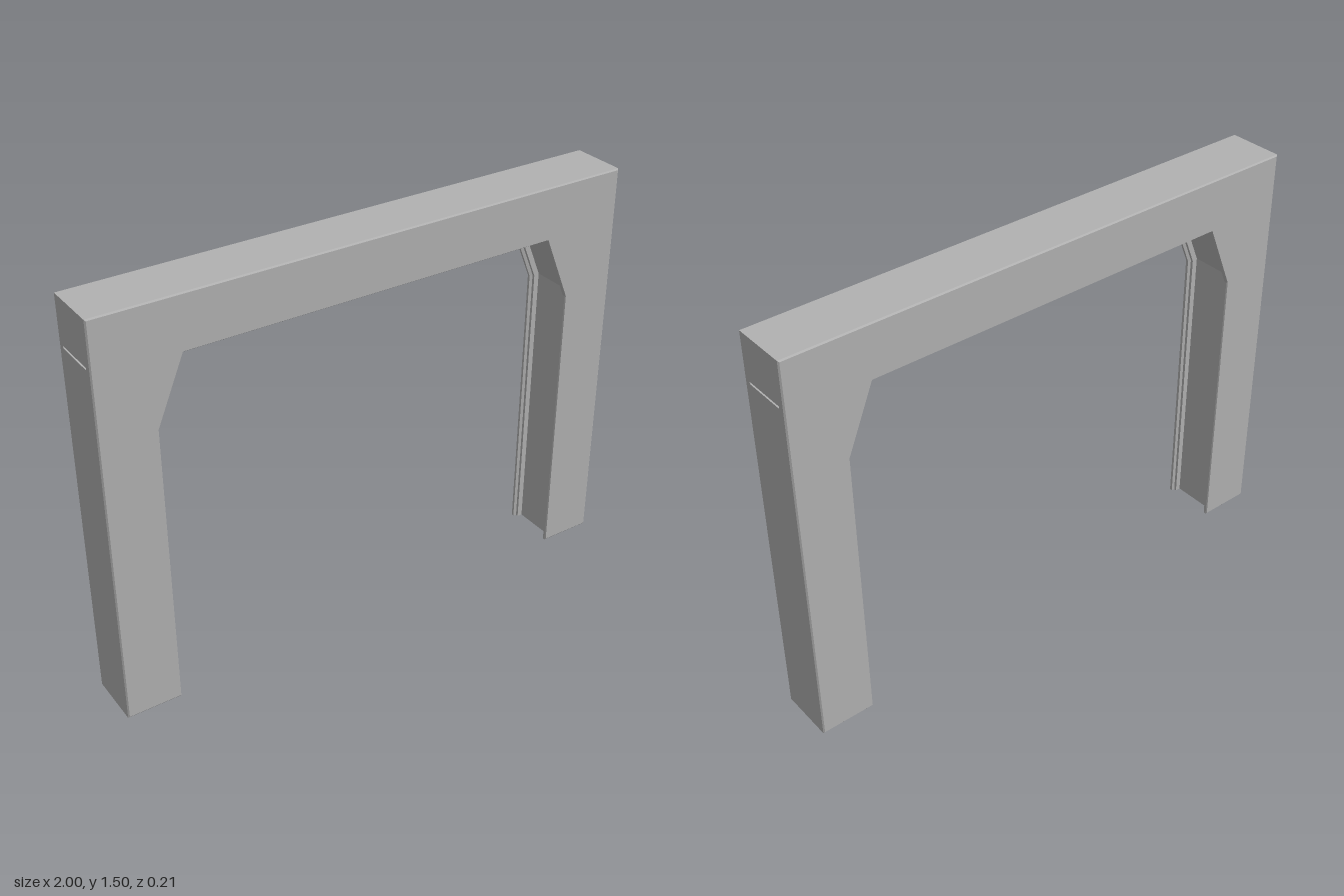
import * as THREE from 'three';

// Frame outline, counter-clockwise from +z.
// o: inset of the outer edge, i: widening of the opening, s: depth of the side slot
function outline(o, i, s) {
  const half = [
    [0.7 + 0.667 * i, 1.305 + i],
    [0.8 + i, 1.065 + 0.2 * i],
    [0.8 + i, o],
    [1 - o, o],
    [1 - o, 1.326],
    [1 - o - s, 1.326],
    [1 - o - s, 1.334],
    [1 - o, 1.334],
    [1 - o, 1.5 - o],
  ];
  const mirrored = half.map(([x, y]) => [-x, y]).reverse();
  return [...half, ...mirrored].map(([x, y]) => new THREE.Vector2(x, y));
}

// Flat-shaded loft through outlines at rising z, closed front and back
function loftFrame(stations) {
  const rings = stations.map(([z, o, i, s]) => ({ z, pts: outline(o, i, s) }));
  const pos = [];
  const put = (ring, k) => pos.push(ring.pts[k].x, ring.pts[k].y, ring.z);
  for (let r = 0; r < rings.length - 1; r++) {
    const a = rings[r], b = rings[r + 1], n = a.pts.length;
    for (let j = 0; j < n; j++) {
      const k = (j + 1) % n;
      put(a, j); put(a, k); put(b, k);
      put(a, j); put(b, k); put(b, j);
    }
  }
  const first = rings[0], last = rings[rings.length - 1];
  for (const [a, b, c] of THREE.ShapeUtils.triangulateShape(last.pts, [])) {
    put(last, a); put(last, b); put(last, c);
    put(first, a); put(first, c); put(first, b);
  }
  const g = new THREE.BufferGeometry();
  g.setAttribute('position', new THREE.Float32BufferAttribute(pos, 3));
  g.computeVertexNormals();
  return g;
}

export function createModel() {
  const group = new THREE.Group();
  group.name = 'doorFrame';
  const grey = new THREE.MeshStandardMaterial({ color: 0xb2b2b2 });
  grey.name = 'grey';

  // Cross-section from the middle to the front: channel, step, lip, bevel
  const frontHalf = [
    [0.08, 0, 0.032, 0.015],
    [0.08, 0, 0.012, 0],
    [0.09, 0, 0.012, 0],
    [0.092, 0, 0, 0],
    [0.101, 0, 0, 0],
    [0.105, 0.005, 0.003, 0],
  ];
  const backHalf = frontHalf.map(([z, ...rest]) => [-z, ...rest]).reverse();

  const frame = new THREE.Mesh(loftFrame([...backHalf, ...frontHalf]), grey);
  frame.name = 'channelledFrame';
  group.add(frame);
  return group;
}
